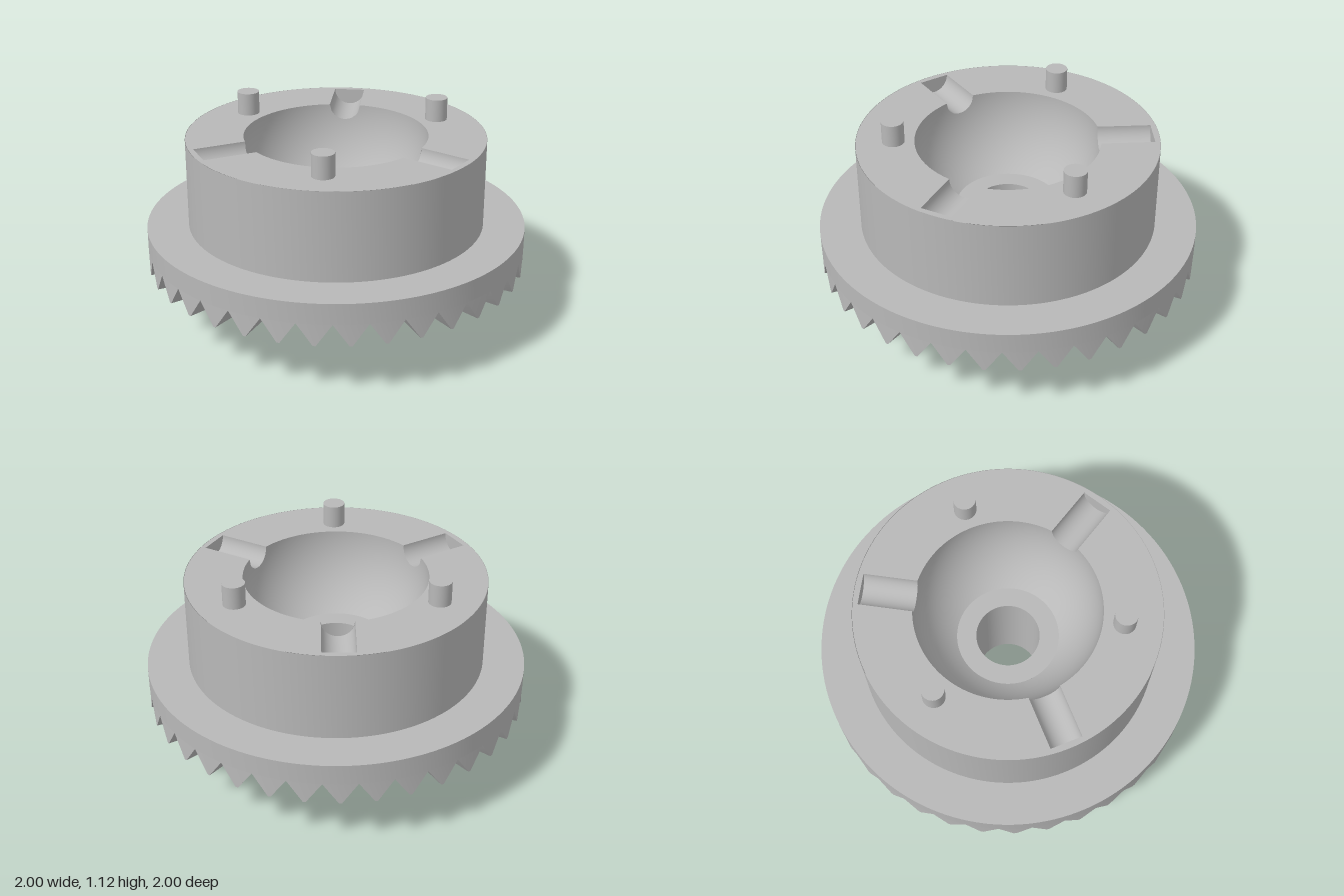
import * as THREE from 'three';
import { toCreasedNormals } from 'three/addons/utils/BufferGeometryUtils.js';

const DEG = Math.PI / 180;
const SEG = 144;
const BASE = 5.8;            // heading of the first groove, degrees from +z towards +x
const BOWL = 0.48;           // radius of the spherical bowl
const ALPHA = 10;            // half angle a groove takes out of the bowl rim
const GROOVE_R = BOWL * Math.sin(ALPHA * DEG);
const GROOVE_IN = BOWL * Math.cos(ALPHA * DEG);
const GROOVE_OUT = 0.75;
const TOP = 1.0, ROOT = 0.42, TIP = 0.305;

const steel = new THREE.MeshStandardMaterial({ color: 0xb8b8b8, side: THREE.DoubleSide });
steel.name = 'grey steel';

function add(parent, name, geometry) {
  const mesh = new THREE.Mesh(geometry, steel);
  mesh.name = name;
  parent.add(mesh);
  return mesh;
}

// Turned part from a profile, with sharp corners
function turned(points) {
  const profile = points.map(([r, y]) => new THREE.Vector2(r, y));
  return toCreasedNormals(new THREE.LatheGeometry(profile, SEG), 0.5);
}

// Flat top ring whose opening follows the bowl rim and the grooves
function topFace() {
  const shape = new THREE.Shape();
  shape.absarc(0, 0, 0.78, 0, Math.PI * 2);
  const hole = [];
  for (let k = 0; k < 3; k++) {
    const f = (BASE + 120 * k) * DEG;
    const at = (s, w) => new THREE.Vector2(
      s * Math.sin(f) + w * Math.cos(f), -(s * Math.cos(f) - w * Math.sin(f)));
    hole.push(at(GROOVE_IN, -GROOVE_R), at(GROOVE_OUT, -GROOVE_R), at(GROOVE_OUT, GROOVE_R));
    for (let b = ALPHA; b < 120 - ALPHA; b++) {
      hole.push(at(BOWL * Math.cos(b * DEG), BOWL * Math.sin(b * DEG)));
    }
  }
  shape.holes.push(new THREE.Path(hole));
  return new THREE.ShapeGeometry(shape, SEG / 2).rotateX(-Math.PI / 2).translate(0, TOP, 0);
}

// Spherical bowl; its upper edge dips around each groove
function bowlGeometry() {
  const rows = 12, cols = 360, pos = [], nor = [], idx = [];
  const low = Math.acos(0.27 / BOWL);
  for (let i = 0; i <= cols; i++) {
    const f = (BASE + i) * DEG;
    const b = Math.abs(((i + 60) % 120) - 60);
    const high = b < ALPHA ? Math.acos(Math.cos(ALPHA * DEG) / Math.cos(b * DEG)) : 0;
    for (let j = 0; j <= rows; j++) {
      const t = high + (low - high) * j / rows;
      const d = [Math.cos(t) * Math.sin(f), -Math.sin(t), Math.cos(t) * Math.cos(f)];
      pos.push(d[0] * BOWL, TOP + d[1] * BOWL, d[2] * BOWL);
      nor.push(-d[0], -d[1], -d[2]);
      if (i < cols && j < rows) {
        const a = i * (rows + 1) + j, c = a + rows + 1;
        idx.push(a, a + 1, c, c, a + 1, c + 1);
      }
    }
  }
  const g = new THREE.BufferGeometry();
  g.setAttribute('position', new THREE.Float32BufferAttribute(pos, 3));
  g.setAttribute('normal', new THREE.Float32BufferAttribute(nor, 3));
  // Make the winding agree with the inward normals
  const v = (n) => new THREE.Vector3().fromArray(pos, idx[n] * 3);
  const face = v(1).sub(v(0)).cross(v(2).sub(v(0)));
  if (face.dot(new THREE.Vector3().fromArray(nor, idx[0] * 3)) < 0) idx.reverse();
  g.setIndex(idx);
  return g;
}

// Crown of wedge teeth pointing down, narrowing towards the centre
function teethGeometry(count, inner, outer) {
  const pos = [];
  const pitch = 360 / count;
  const outline = [[0, ROOT], [0.46, TIP], [0.54, TIP], [1, ROOT]];
  const quad = (a, b, c, d) => pos.push(...a, ...b, ...c, ...a, ...c, ...d);
  for (let i = 0; i < count; i++) {
    const ring = (r) => outline.map(([u, y]) => {
      const f = (0.9 + (i + u) * pitch) * DEG;
      return [r * Math.sin(f), y, r * Math.cos(f)];
    });
    const o = ring(outer), n = ring(inner);
    quad(o[0], o[1], o[2], o[3]);
    quad(n[3], n[2], n[1], n[0]);
    for (let k = 0; k < 3; k++) quad(o[k], n[k], n[k + 1], o[k + 1]);
  }
  const g = new THREE.BufferGeometry();
  g.setAttribute('position', new THREE.Float32BufferAttribute(pos, 3));
  g.computeVertexNormals();
  return toCreasedNormals(g, 0.3);
}

export function createModel() {
  const model = new THREE.Group();
  model.name = 'bevelGear';

  // Hub with collar, flange and drum wall
  add(model, 'hubFlangeAndDrum', turned([
    [0.168, 0], [0.233, 0], [0.233, 0.268], [0.312, 0.268], [0.312, 0.305], [0.233, 0.305],
    [0.233, ROOT], [1, ROOT], [1, 0.53], [0.782, 0.53], [0.782, TOP]]));
  add(model, 'boreAndSeat', turned([[0.27, TOP - Math.sqrt(BOWL ** 2 - 0.27 ** 2)],
    [0.168, TOP - Math.sqrt(BOWL ** 2 - 0.27 ** 2)], [0.168, 0]]));
  add(model, 'topFace', topFace());
  add(model, 'bowl', bowlGeometry());
  add(model, 'gearTeeth', teethGeometry(36, 0.77, 1));

  // Three round-bottomed grooves with pins halfway between them
  const length = GROOVE_OUT - GROOVE_IN;
  for (let k = 0; k < 3; k++) {
    const arm = new THREE.Group();
    arm.name = 'groove' + (k + 1);
    arm.rotation.y = (BASE + 120 * k) * DEG;
    const channel = new THREE.CylinderGeometry(
      GROOVE_R, GROOVE_R, length, 24, 1, true, -Math.PI / 2, Math.PI);
    add(arm, 'grooveFloor', channel.rotateX(Math.PI / 2))
      .position.set(0, TOP, GROOVE_IN + length / 2);
    const end = new THREE.CircleGeometry(GROOVE_R, 24, Math.PI, Math.PI).rotateY(Math.PI);
    add(arm, 'grooveEnd', end).position.set(0, TOP, GROOVE_OUT);
    model.add(arm);

    const f = (BASE + 60 + 120 * k) * DEG;
    add(model, 'pin' + (k + 1), new THREE.CylinderGeometry(0.058, 0.058, 0.12, 40))
      .position.set(0.588 * Math.sin(f), TOP + 0.06, 0.588 * Math.cos(f));
  }
  return model;
}
